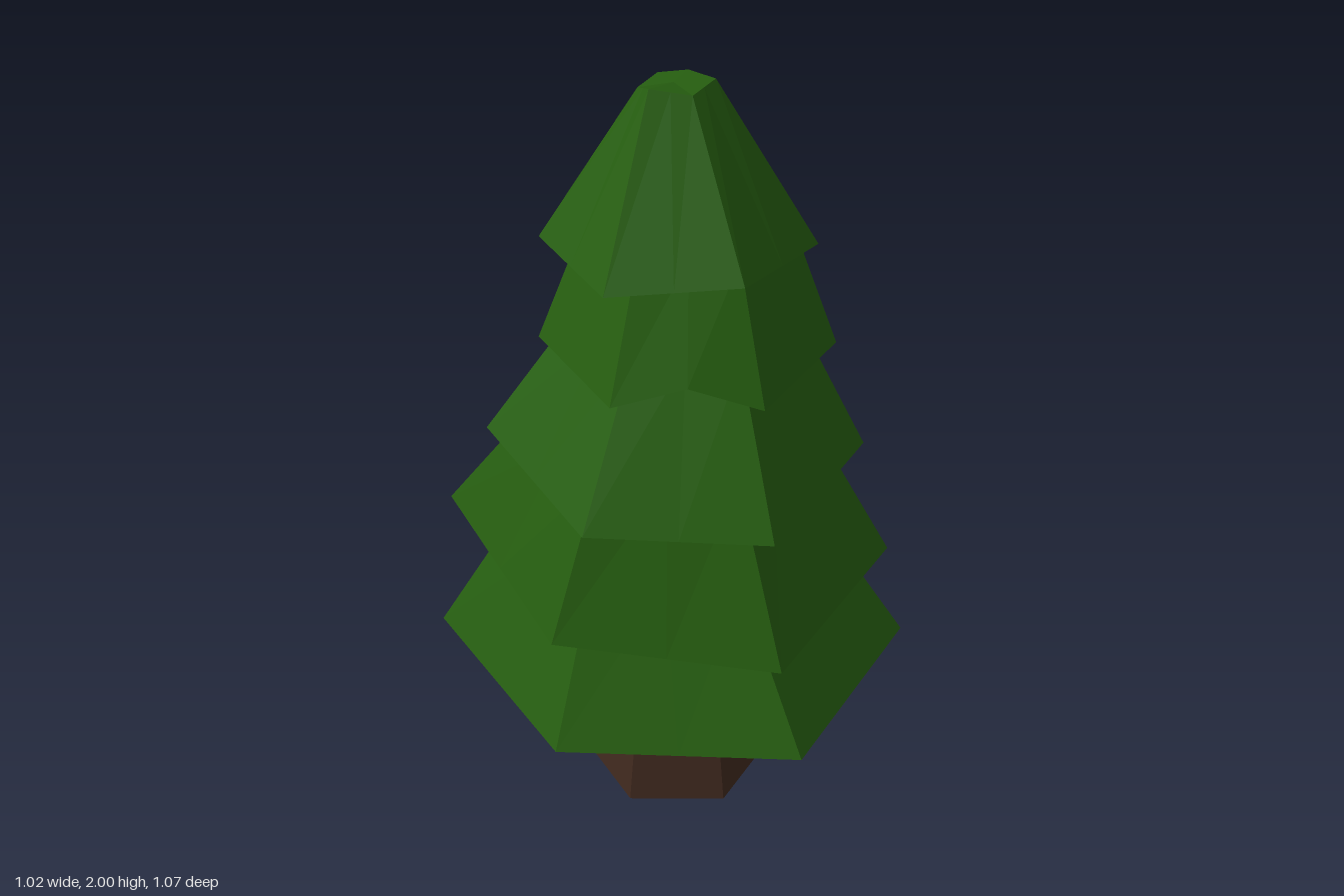
import * as THREE from 'three';

const green = new THREE.MeshStandardMaterial({ color: 0x265e10, flatShading: true });
const brown = new THREE.MeshStandardMaterial({ color: 0x40291e, flatShading: true });

// Skin a list of equal-length rings (counterclockwise from above) with flat faces.
function loft(rings, name, material) {
  const pos = [];
  const tri = (a, b, c) => {
    if (a.distanceTo(b) < 1e-5 || b.distanceTo(c) < 1e-5 || c.distanceTo(a) < 1e-5) return;
    for (const p of [a, b, c]) pos.push(p.x, p.y, p.z);
  };
  for (let r = 0; r < rings.length - 1; r++) {
    const lo = rings[r], hi = rings[r + 1], n = lo.length;
    for (let i = 0; i < n; i++) {
      const j = (i + 1) % n;
      tri(lo[i], lo[j], hi[j]);
      tri(lo[i], hi[j], hi[i]);
    }
  }
  const geometry = new THREE.BufferGeometry();
  geometry.setAttribute('position', new THREE.Float32BufferAttribute(pos, 3));
  geometry.computeVertexNormals();
  const mesh = new THREE.Mesh(geometry, material);
  mesh.name = name;
  return mesh;
}

// Regular hexagon with a corner towards +z.
const hexagon = (r, y, cx = 0, cz = 0) => Array.from({ length: 6 }, (_, k) =>
  new THREE.Vector3(cx + r * Math.sin(k * Math.PI / 3), y, cz + r * Math.cos(k * Math.PI / 3)));

const corners = list => list.map(p => new THREE.Vector3(...p));

const centreOf = ring => ring.reduce((s, p) => s.add(p), new THREE.Vector3()).divideScalar(ring.length);

// Add a midpoint to every side; the side numbered `notch` has its midpoint raised.
const withMidpoints = (ring, notch = -1) => ring.flatMap((p, k) => {
  const mid = p.clone().lerp(ring[(k + 1) % 6], 0.5);
  if (k === notch) mid.y += 0.055;
  return [p, mid];
});

// Ring shrunk towards its centre and moved up; scale 0 gives a cap centre.
const inset = (ring, scale, rise = 0) => {
  const c = centreOf(ring);
  return ring.map(p => {
    const q = c.clone().lerp(p, scale);
    q.y += rise;
    return q;
  });
};

// Rim corners run front, front +x, back +x, back, back -x, front -x.
const tiers = [
  {
    rim: [[0, .455, .535], [.512, .455, .267], [.512, .455, -.267], [0, .455, -.535], [-.512, .43, -.27], [-.512, .435, .262]],
    top: hexagon(.345, .85, 0, .02), notch: 3, recess: .19,
  },
  {
    rim: [[-.04, .73, .475], [.445, .69, .255], [.467, .71, -.25], [.01, .785, -.508], [-.49, .82, -.27], [-.502, .795, .205]],
    top: hexagon(.315, 1.15, .015, .035), recess: .08,
  },
  {
    rim: [[.04, 1.07, .455], [.405, 1.04, .235], [.39, 1.01, -.24], [.015, 1.025, -.445], [-.365, 1.10, -.215], [-.36, 1.08, .235]],
    top: hexagon(.24, 1.42, .04, 0), notch: 2, recess: .08,
  },
  {
    rim: [[.04, 1.345, .33], [.33, 1.335, .157], [.335, 1.32, -.175], [.037, 1.35, -.34], [-.25, 1.335, -.173], [-.25, 1.335, .165]],
    top: hexagon(.22, 1.66, .04, -.01), notch: 0, recess: .05,
  },
  {
    rim: [[.01, 1.605, .30], [.27, 1.63, .15], [.285, 1.575, -.162], [.02, 1.62, -.275], [-.237, 1.64, -.13], [-.24, 1.605, .163]],
    top: corners([[0, 2, .09], [.08, 1.985, .045], [.085, 1.985, -.045], [.015, 1.985, -.05], [-.04, 1.98, -.015], [-.045, 1.978, .06]]),
    recess: .05,
  },
];

export function createModel() {
  const tree = new THREE.Group();
  tree.name = 'pineTree';

  // Tapered six-sided trunk, reaching up into the lowest tier
  const foot = hexagon(.24, 0, 0, -.035);
  const head = hexagon(.145, .68, 0, -.035);
  tree.add(loft([inset(foot, 0), foot, head, inset(head, 0)], 'trunk', brown));

  // Foliage: uneven skirts, each with a flat underside and a recessed hollow
  const foliage = new THREE.Group();
  foliage.name = 'foliage';
  tiers.forEach(({ rim, top, notch, recess }, i) => {
    const plain = withMidpoints(corners(rim));
    const outer = withMidpoints(corners(rim), notch);
    const upper = withMidpoints(top);
    foliage.add(loft([
      inset(plain, 0, recess), inset(plain, .67, recess), inset(plain, .67),
      outer, upper, inset(upper, 0),
    ], `foliageTier${i + 1}`, green));
  });
  tree.add(foliage);
  return tree;
}
